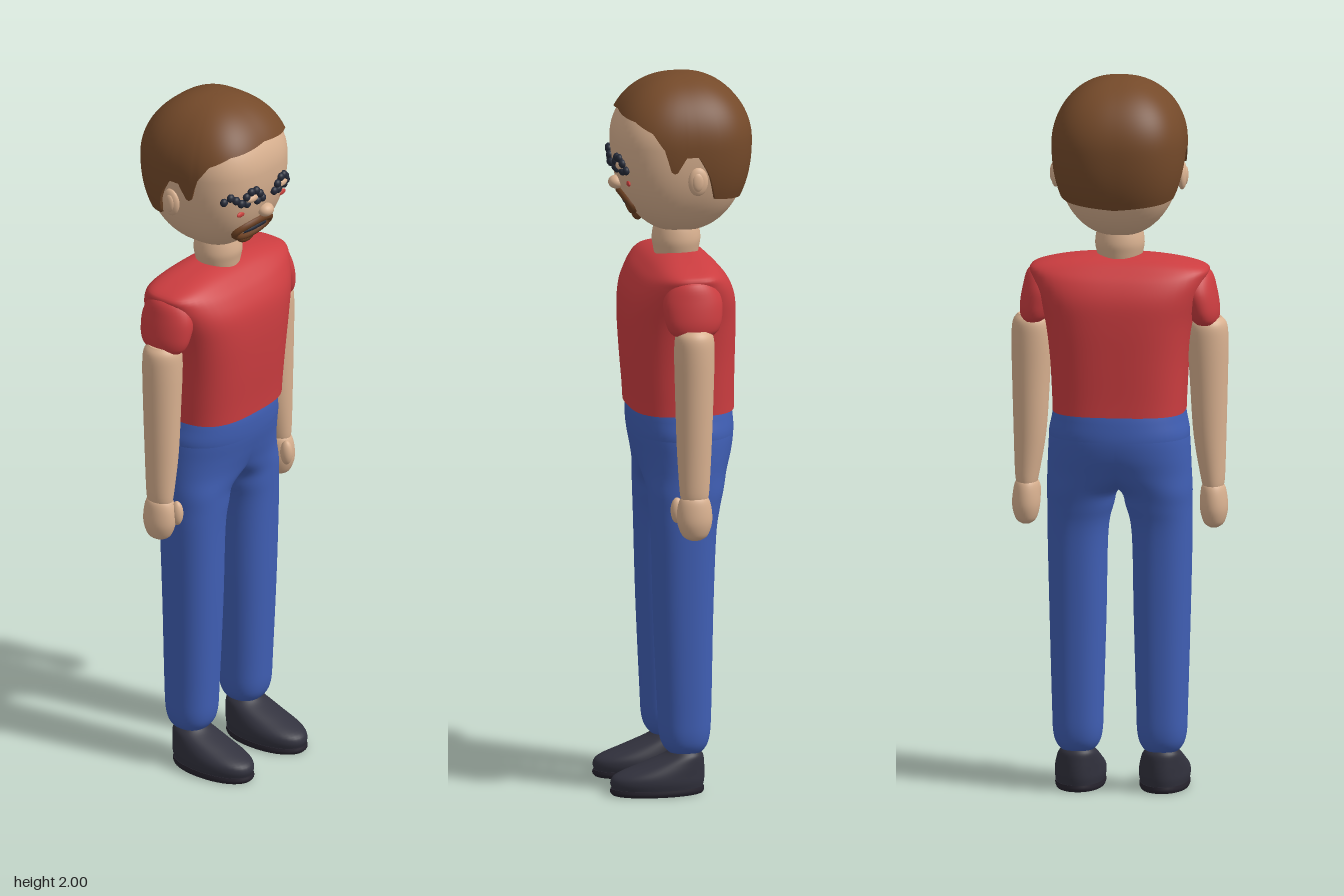
import * as THREE from 'three';

const mat = (name, color) => {
  const m = new THREE.MeshStandardMaterial({ color });
  m.name = name;
  return m;
};

// Closed tube surface: rows of points running upwards, wrapped around y
function grid(point, rows, segs) {
  const pos = [], idx = [];
  for (let i = 0; i < rows; i++)
    for (let j = 0; j < segs; j++) pos.push(...point(i, (j / segs) * Math.PI * 2));
  for (let i = 0; i < rows - 1; i++)
    for (let j = 0; j < segs; j++) {
      const k = (j + 1) % segs;
      const a = i * segs + j, b = a + segs, c = i * segs + k, d = c + segs;
      idx.push(a, b, c, c, b, d);
    }
  const g = new THREE.BufferGeometry();
  g.setAttribute('position', new THREE.Float32BufferAttribute(pos, 3));
  g.setIndex(idx);
  g.computeVertexNormals();
  return g;
}

// Unit superellipse direction
function squircle(theta, n) {
  const c = Math.cos(theta), s = Math.sin(theta);
  const r = (Math.abs(c) ** n + Math.abs(s) ** n) ** (-1 / n);
  return [c * r, s * r];
}

// Smooth loft through sections [y, centreX, radiusX, frontZ, backZ], bottom to top
function loft(sections, side = 1, n = 2, segs = 40, steps = 5) {
  const rows = [], last = sections.length - 1;
  const at = (i) => sections[Math.min(last, Math.max(0, i))];
  for (let i = 0; i < last; i++)
    for (let k = 0; k < steps || (i === last - 1 && k === steps); k++) {
      const t = k / steps;
      rows.push(at(i).map((p1, q) => {
        const p0 = at(i - 1)[q], p2 = at(i + 1)[q], p3 = at(i + 2)[q];
        return p1 + 0.5 * t * (p2 - p0 + t * (2 * p0 - 5 * p1 + 4 * p2 - p3 + t * (3 * (p1 - p2) + p3 - p0)));
      }));
    }
  // duplicated rims give crisp end caps
  const first = rows[0], top = rows[rows.length - 1];
  const shrink = ([y, cx, , f, b]) => [y, cx, 0, (f + b) / 2, (f + b) / 2];
  const all = [shrink(first), first, ...rows, top, shrink(top)];
  return grid((i, th) => {
    const [y, cx, rx, f, b] = all[i], [c, s] = squircle(th, n);
    return [side * cx + rx * c, y, (f + b) / 2 + ((f - b) / 2) * s];
  }, all.length, segs);
}

// Head: rounded-square egg
const HEAD = { y: 1.82, up: 0.172, down: 0.262, rx: 0.177, zm: -0.012, rz: 0.187, n: 2.6 };
function headScale(y) {
  const u = Math.min(1, Math.abs(y - HEAD.y) / (y > HEAD.y ? HEAD.up : HEAD.down));
  const e = y > HEAD.y ? 2 : 2.2;
  return (1 - u ** e) ** (1 / e);
}
function headPoint(theta, y, off = 0) {
  const f = headScale(y), [c, s] = squircle(theta, HEAD.n);
  const lift = off * Math.max(0, (y - HEAD.y) / HEAD.up);
  return [(HEAD.rx * f + off) * c, y + lift, HEAD.zm + (HEAD.rz * f + off) * s];
}
function faceZ(x, y) {
  const f = headScale(y), q = Math.min(1, Math.abs(x) / (HEAD.rx * f));
  return HEAD.zm + HEAD.rz * f * (1 - q ** HEAD.n) ** (1 / HEAD.n);
}

// Hairline height by angle from the front, in degrees
const HAIRLINE = [[0, 1.903], [40, 1.89], [58, 1.865], [68, 1.82], [73, 1.755], [77, 1.755], [85, 1.8],
  [95, 1.8], [104, 1.75], [112, 1.675], [130, 1.668], [180, 1.655]];
function hairline(theta) {
  const a = THREE.MathUtils.radToDeg(Math.acos(THREE.MathUtils.clamp(Math.sin(theta), -1, 1)));
  const i = Math.max(1, HAIRLINE.findIndex(([d]) => d >= a - 1e-4));
  const [d0, y0] = HAIRLINE[i - 1], [d1, y1] = HAIRLINE[i];
  return THREE.MathUtils.mapLinear(a, d0, d1, y0, y1);
}

export function createModel() {
  const model = new THREE.Group();
  model.name = 'standingMan';
  const skin = mat('skin', 0xd9b190), hair = mat('brown hair', 0x754a2a), red = mat('red shirt', 0xcc3d40);
  const blue = mat('blue trousers', 0x405fb5), dark = mat('dark shoes', 0x32323e), sole = mat('dark sole', 0x26232d);
  const slate = mat('slate lashes', 0x252a38), blush = mat('red blush', 0xc8403c), beard = mat('brown beard', 0x6b4022);

  const add = (name, geo, material) => {
    const m = new THREE.Mesh(geo, material);
    m.name = name;
    model.add(m);
    return m;
  };
  const blob = (name, material, p, r) => {
    const m = add(name, new THREE.SphereGeometry(1, 20, 14), material);
    m.position.set(...p);
    m.scale.set(...r);
    return m;
  };

  // Head and hair
  add('head', grid((i, th) => {
    const a = -Math.PI / 2 + (i / 40) * Math.PI;
    return headPoint(th, HEAD.y + Math.sin(a) * (a > 0 ? HEAD.up : HEAD.down));
  }, 41, 64), skin);
  add('hair', grid((i, th) => {
    const low = hairline(th), top = HEAD.y + HEAD.up;
    if (i === 0) return headPoint(th, low, -0.01);
    const t = Math.max(0, i - 2) / 30;
    const p = headPoint(th, low + (top - low) * Math.sin((t * Math.PI) / 2), 0.008);
    return i === 33 ? [0, p[1], HEAD.zm] : p;
  }, 34, 144), hair);

  // Neck and torso
  add('neck', loft([[1.48, 0, 0.055, 0.055, -0.06], [1.51, 0, 0.064, 0.06, -0.066], [1.54, 0, 0.068, 0.064, -0.07],
    [1.58, 0, 0.06, 0.056, -0.062], [1.61, 0, 0.04, 0.04, -0.045]]), skin);
  add('shirt', loft([[1.07, 0, 0.182, 0.134, -0.152], [1.12, 0, 0.184, 0.137, -0.152], [1.22, 0, 0.19, 0.145, -0.154],
    [1.32, 0, 0.203, 0.149, -0.155], [1.39, 0, 0.222, 0.142, -0.15], [1.44, 0, 0.24, 0.118, -0.13],
    [1.47, 0, 0.243, 0.092, -0.104], [1.49, 0, 0.185, 0.067, -0.08], [1.503, 0, 0.1, 0.035, -0.047],
    [1.507, 0, 0.01, 0.004, -0.012]], 1, 3, 64), red);

  for (const side of [1, -1]) {
    const name = side > 0 ? 'left' : 'right';
    // Sleeve, arm and hand
    add(name + 'Sleeve', loft([[1.315, 0.237, 0.03, 0.055, -0.06], [1.33, 0.234, 0.04, 0.068, -0.074],
      [1.36, 0.228, 0.047, 0.077, -0.083], [1.41, 0.215, 0.052, 0.078, -0.084], [1.455, 0.205, 0.048, 0.055, -0.06],
      [1.475, 0.2, 0.02, 0.015, -0.02]], side), red);
    add(name + 'Arm', loft([[0.85, 0.257, 0.026, 0.036, -0.036], [0.88, 0.256, 0.033, 0.041, -0.041],
      [1.0, 0.248, 0.045, 0.047, -0.049], [1.15, 0.245, 0.052, 0.051, -0.055], [1.26, 0.243, 0.056, 0.053, -0.058],
      [1.31, 0.243, 0.052, 0.05, -0.055], [1.33, 0.243, 0.038, 0.036, -0.04]], side), skin);
    add(name + 'Hand', loft([[0.742, 0.259, 0.012, 0.015, -0.018], [0.755, 0.259, 0.028, 0.034, -0.036],
      [0.79, 0.259, 0.038, 0.048, -0.048], [0.83, 0.258, 0.037, 0.048, -0.047], [0.86, 0.257, 0.03, 0.038, -0.038],
      [0.87, 0.257, 0.012, 0.02, -0.02]], side), skin);
    blob(name + 'Thumb', skin, [side * 0.238, 0.823, 0.045], [0.016, 0.036, 0.018]);

    // Trouser leg, widening into the shared hips
    add(name + 'TrouserLeg', loft([[0.108, 0.116, 0.03, 0.028, -0.034], [0.122, 0.116, 0.052, 0.05, -0.055],
      [0.16, 0.116, 0.067, 0.067, -0.07], [0.25, 0.116, 0.071, 0.073, -0.075], [0.5, 0.116, 0.078, 0.084, -0.08],
      [0.72, 0.116, 0.083, 0.09, -0.088], [0.8, 0.108, 0.091, 0.094, -0.1], [0.85, 0.098, 0.102, 0.097, -0.112],
      [0.9, 0.05, 0.148, 0.105, -0.128], [0.95, 0.012, 0.184, 0.118, -0.146], [1.0, 0, 0.193, 0.129, -0.155],
      [1.05, 0, 0.186, 0.133, -0.153], [1.082, 0, 0.18, 0.13, -0.148]], side, 2.3, 56), blue);

    // Shoe and sole
    add(name + 'Sole', loft([[0, 0.116, 0.066, 0.2, -0.052], [0.008, 0.116, 0.069, 0.206, -0.056],
      [0.018, 0.116, 0.068, 0.204, -0.055]], side, 2.1), sole);
    add(name + 'Shoe', loft([[0.016, 0.116, 0.066, 0.2, -0.052], [0.035, 0.116, 0.07, 0.205, -0.056],
      [0.055, 0.116, 0.069, 0.19, -0.057], [0.08, 0.116, 0.063, 0.125, -0.056], [0.105, 0.116, 0.054, 0.06, -0.053],
      [0.12, 0.116, 0.042, 0.038, -0.043]], side, 2.1), dark);

    // Ear
    blob(name + 'Ear', skin, [side * 0.174, 1.73, -0.028], [0.014, 0.04, 0.028]);
    blob(name + 'EarInner', skin, [side * 0.183, 1.73, -0.026], [0.008, 0.026, 0.016]);

    // Dark lashes in an arch over the eye, and a small blush
    const lashes = [[0.026, 1.75], [0.038, 1.768], [0.053, 1.782], [0.07, 1.782], [0.084, 1.77], [0.097, 1.752],
      [0.045, 1.748], [0.08, 1.748]];
    if (side < 0) lashes.push([0.112, 1.765], [0.125, 1.775], [0.137, 1.762]);
    for (const [x, y] of lashes)
      blob(name + 'Lash', slate, [side * x, y, faceZ(x, y) + 0.004], [0.012, 0.012, 0.01]);
    blob(name + 'Eyelid', skin, [side * 0.062, 1.76, faceZ(0.062, 1.76)], [0.026, 0.012, 0.012]);
    blob(name + 'Blush', blush, [side * 0.088, 1.714, faceZ(0.088, 1.714)], [0.017, 0.008, 0.005]);
  }

  // Nose
  blob('nose', skin, [0, 1.7, faceZ(0, 1.7) + 0.006], [0.024, 0.019, 0.022]);

  // Beard ring around the mouth, with a small chin tuft
  const ring = [];
  for (let i = 0; i < 24; i++) {
    const a = (i / 24) * Math.PI * 2;
    const x = -0.014 + 0.066 * Math.cos(a), y = 1.645 + 0.026 * Math.sin(a);
    ring.push(new THREE.Vector3(x, y, faceZ(x, y) + 0.002));
  }
  add('beardRing', new THREE.TubeGeometry(new THREE.CatmullRomCurve3(ring, true), 64, 0.011, 10, true), beard);
  const mouth = [-0.06, -0.03, 0, 0.03].map((x) => new THREE.Vector3(x, 1.645, faceZ(x, 1.645) + 0.001));
  add('mouth', new THREE.TubeGeometry(new THREE.CatmullRomCurve3(mouth), 24, 0.008, 8), slate);
  blob('chinTuft', beard, [-0.012, 1.607, faceZ(0.012, 1.607) - 0.002], [0.034, 0.018, 0.014]);
  return model;
}
